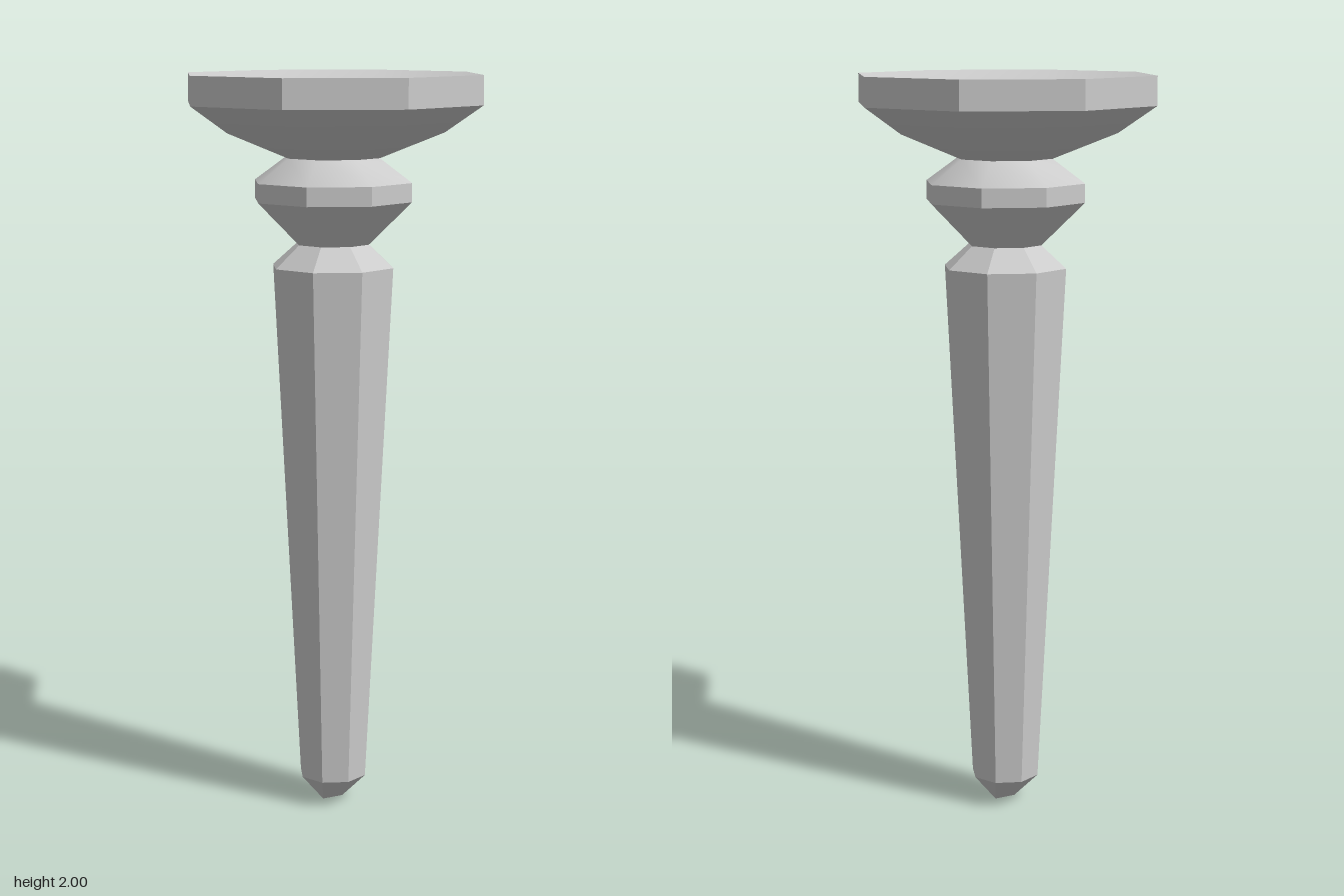
import * as THREE from 'three';
import { toCreasedNormals } from 'three/addons/utils/BufferGeometryUtils.js';

const SIDES = 8;
const CREASE = Math.PI / 6;
const material = new THREE.MeshStandardMaterial({ color: 0xcccccc });

function part(name, geometry) {
  const mesh = new THREE.Mesh(toCreasedNormals(geometry, CREASE), material);
  mesh.name = name;
  return mesh;
}

// Octagonal turning from [radius, height] pairs, bottom to top
function turned(name, profile) {
  const points = profile.map(([r, y]) => new THREE.Vector2(r, y));
  return part(name, new THREE.LatheGeometry(points, SIDES));
}

// Closes an octagonal rim onto a short ridge running along x
function ridgeCap(name, radius, rimY, ridgeY, halfRidge, facesUp) {
  const rim = (i) => {
    const a = (i % SIDES) * Math.PI * 2 / SIDES;
    return [radius * Math.sin(a), rimY, radius * Math.cos(a)];
  };
  const right = [halfRidge, ridgeY, 0];
  const left = [-halfRidge, ridgeY, 0];
  const triangles = [[rim(0), right, left], [rim(4), left, right]];
  for (let i = 0; i < SIDES; i++) {
    triangles.push([rim(i), rim(i + 1), i < SIDES / 2 ? right : left]);
  }
  const positions = triangles.flatMap((t) => (facesUp ? t : [t[0], t[2], t[1]])).flat();
  const geometry = new THREE.BufferGeometry();
  geometry.setAttribute('position', new THREE.Float32BufferAttribute(positions, 3));
  return part(name, geometry);
}

export function createModel() {
  const group = new THREE.Group();
  group.name = 'taperedPeg';

  // Pointed foot and long tapering shaft
  group.add(ridgeCap('tip', 0.094, 0.075, 0, 0.03, false));
  group.add(turned('shaft', [[0.094, 0.075], [0.168, 1.495], [0.1, 1.555]]));

  // Bead between shaft and head
  group.add(turned('collar', [[0.1, 1.555], [0.218, 1.67], [0.218, 1.72], [0.13, 1.783]]));

  // Flared head with a shallow dished top
  group.add(turned('head', [[0.13, 1.783], [0.305, 1.853], [0.407, 1.923], [0.407, 2]]));
  group.add(ridgeCap('dish', 0.407, 2, 1.913, 0.18, true));

  return group;
}
